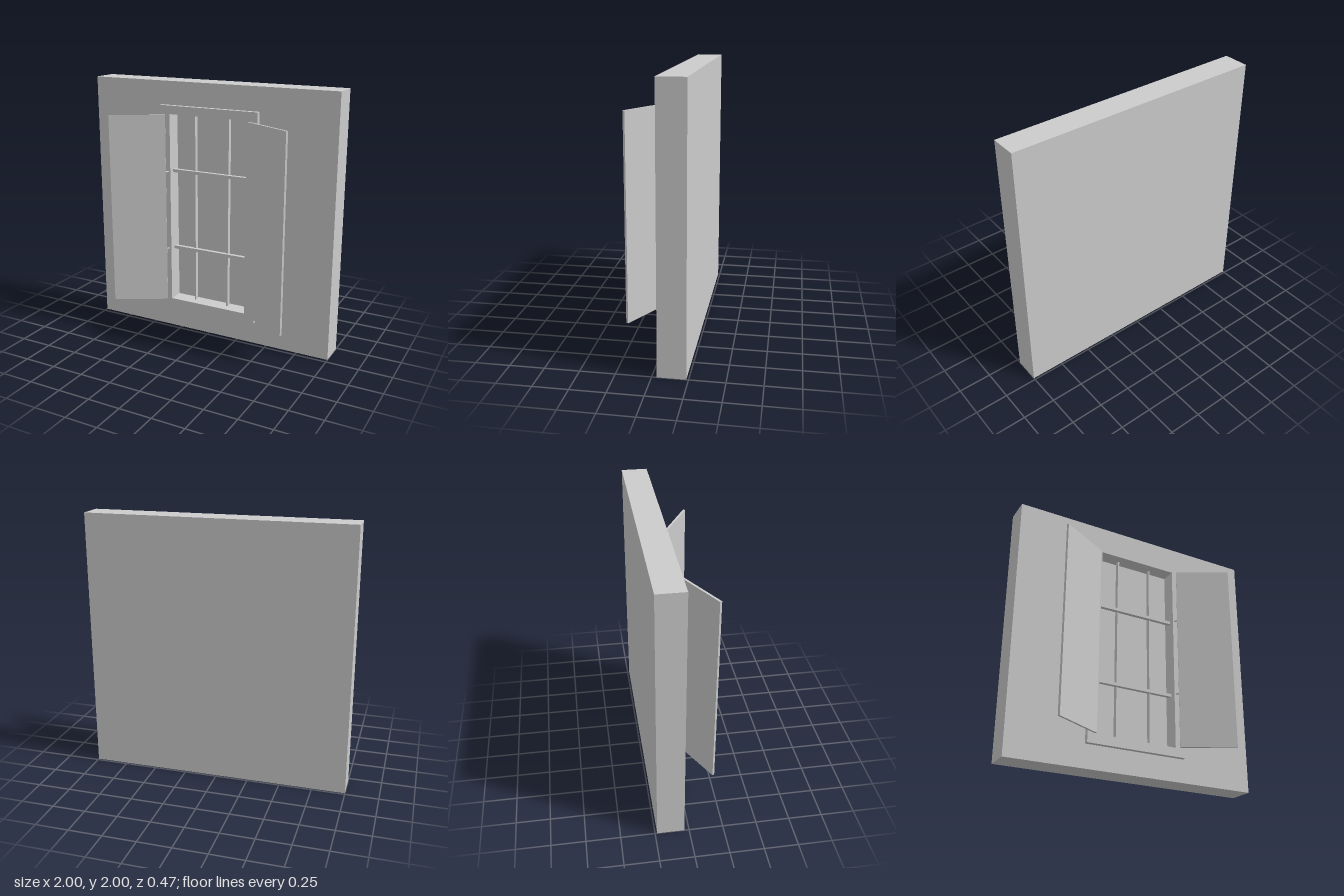
import * as THREE from 'three';

export function createModel() {
  const group = new THREE.Group();
  const material = new THREE.MeshStandardMaterial({ color: 0xcccccc, flatShading: true });

  const add = (name, geometry, x = 0, y = 0, z = 0, parent = group) => {
    const mesh = new THREE.Mesh(geometry, material);
    mesh.name = name;
    mesh.position.set(x, y, z);
    parent.add(mesh);
    return mesh;
  };
  const rect = (target, x0, y0, x1, y1) =>
    target.moveTo(x0, y0).lineTo(x1, y0).lineTo(x1, y1).lineTo(x0, y1).closePath();

  // Rectangular slab with the window opening cut through it
  const openSlab = (x, y0, y1, depth) => {
    const shape = new THREE.Shape();
    rect(shape, -x, y0, x, y1);
    const hole = new THREE.Path();
    rect(hole, -0.322, 0.25, 0.322, 1.755);
    shape.holes.push(hole);
    return new THREE.ExtrudeGeometry(shape, { depth, bevelEnabled: false });
  };

  // Wall: solid back with a pierced front layer, forming the window recess
  add('wallBack', new THREE.BoxGeometry(2, 2, 0.115), 0, 1, -0.1775);
  add('wallFront', openSlab(1, 0, 2, 0.085), 0, 0, -0.12);
  add('windowFrame', openSlab(0.405, 0.18, 1.82, 0.035), 0, 0, -0.035);

  // Glazing bars: uprights behind, crossbars in front
  for (const x of [-0.142, 0.142]) {
    add('uprightBar', new THREE.BoxGeometry(0.011, 1.505, 0.036), x, 1.0025, -0.084);
  }
  for (const y of [0.68, 1.308]) {
    add('crossBar', new THREE.BoxGeometry(0.644, 0.024, 0.03), 0, y, -0.06);
  }

  // Open shutters, mirrored, each on two hinge pins
  for (const side of [-1, 1]) {
    const shutter = new THREE.Group();
    shutter.name = side > 0 ? 'leftShutter' : 'rightShutter';
    group.add(shutter);
    const panel = add('shutterPanel', new THREE.BoxGeometry(0.427, 1.5, 0.017),
      side * 0.536, 1, 0.1235, shutter);
    panel.rotation.y = -side * THREE.MathUtils.degToRad(29);
    for (const y of [0.68, 1.307]) {
      const pin = new THREE.CylinderGeometry(0.006, 0.006, 0.034, 12)
        .rotateX(Math.PI / 2)
        .rotateY(side * 0.4);
      add('hingePin', pin, side * 0.343, y, 0.008, shutter);
    }
  }
  return group;
}
